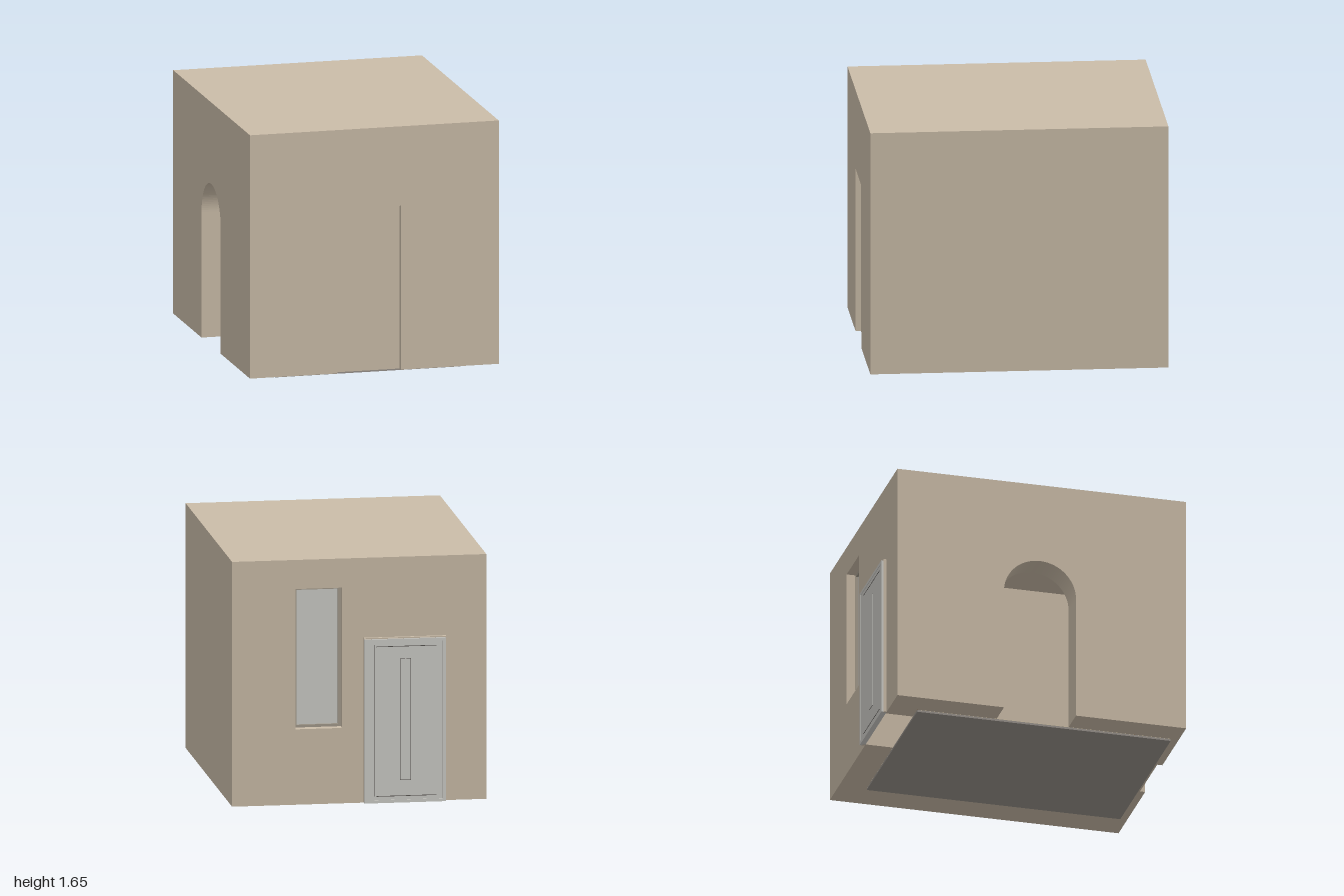
import * as THREE from 'three';

const mat = (name, color) => Object.assign(new THREE.MeshStandardMaterial({ color }), { name });

export function createModel() {
  const room = new THREE.Group();
  room.name = 'room';
  const plaster = mat('plaster', 0xcabca8);
  const grey = mat('pale grey panel', 0xcccbc6);
  const trim = mat('trim grey', 0xa39a8c);
  const slab = mat('slab grey', 0x96908a);
  const tile = mat('floor tile', 0xd2c2a4);
  const wood = mat('wood', 0x8a5c3a);
  const dark = mat('dark gap', 0x55524e);

  const add = (name, geo, material, parent = room) => {
    const mesh = new THREE.Mesh(geo, material);
    mesh.name = name;
    parent.add(mesh);
    return mesh;
  };
  // box given by its limits on each axis
  const box = (name, x0, x1, y0, y1, z0, z1, material, parent) => {
    const g = new THREE.BoxGeometry(x1 - x0, y1 - y0, z1 - z0);
    g.translate((x0 + x1) / 2, (y0 + y1) / 2, (z0 + z1) / 2);
    return add(name, g, material, parent);
  };
  const group = (name) => {
    const g = new THREE.Group();
    g.name = name;
    room.add(g);
    return g;
  };
  // wall outline with one opening that reaches the ground, round-topped if arched
  const base = 0.015, top = 1.655;
  const wallShape = (u0, u1, o0, o1, height, arched) => {
    const s = new THREE.Shape();
    s.moveTo(u0, base);
    s.lineTo(o0, base);
    s.lineTo(o0, height);
    if (arched) s.absarc((o0 + o1) / 2, height, (o1 - o0) / 2, Math.PI, 0, true);
    else s.lineTo(o1, height);
    s.lineTo(o1, base);
    s.lineTo(u1, base);
    s.lineTo(u1, top);
    s.lineTo(u0, top);
    s.closePath();
    return s;
  };
  const extrude = (shape, depth) =>
    new THREE.ExtrudeGeometry(shape, { depth, bevelEnabled: false, curveSegments: 28 });

  // front wall with a shallow door niche
  add('frontWall', extrude(wallShape(-0.845, 0.845, -0.25, 0.18, 1.12), 0.055), plaster).position.z = 0.945;
  box('frontDoorPanel', -0.25, 0.18, base, 1.12, 0.945, 0.965, plaster);

  // back wall with doorway and window opening
  const back = wallShape(-0.845, 0.845, -0.55, -0.05, 1.1);
  const hole = new THREE.Path();
  hole.moveTo(0.113, 0.52);
  hole.lineTo(0.113, 1.46);
  hole.lineTo(0.424, 1.46);
  hole.lineTo(0.424, 0.52);
  hole.closePath();
  back.holes.push(hole);
  add('backWall', extrude(back, 0.185), plaster).position.z = -0.965;

  // side walls, one with an arch
  const archWall = extrude(wallShape(-0.78, 0.945, -0.24, 0.25, 0.86, true), 0.185);
  archWall.rotateY(-Math.PI / 2);
  add('archWall', archWall, plaster).position.x = -0.66;
  box('plainWall', 0.6, 0.845, base, top, -0.78, 0.945, plaster);
  box('roof', -0.66, 0.6, 1.58, top, -0.78, 0.945, plaster);

  // floor slab with tiles
  box('floorSlab', -0.66, 0.6, 0, 0.014, -0.78, 0.945, slab);
  const tiles = group('floorTiles');
  const nx = 5, nz = 7, tx = 1.26 / nx, tz = 1.725 / nz;
  for (let i = 0; i < nx; i++) for (let j = 0; j < nz; j++) {
    const x = -0.66 + i * tx, z = -0.78 + j * tz;
    box('tile', x + 0.002, x + tx - 0.002, 0.014, 0.018, z + 0.002, z + tz - 0.002, tile, tiles);
  }

  // rectangular frame made of four bars
  const frame = (name, x0, x1, y0, y1, z0, z1, t, material, parent) => {
    box(name, x0, x0 + t, y0, y1, z0, z1, material, parent);
    box(name, x1 - t, x1, y0, y1, z0, z1, material, parent);
    box(name, x0 + t, x1 - t, y1 - t, y1, z0, z1, material, parent);
    box(name, x0 + t, x1 - t, y0, y0 + t, z0, z1, material, parent);
  };

  // window set back in the wall
  const win = group('window');
  frame('windowFrame', 0.113, 0.424, 0.52, 1.46, -0.905, -0.86, 0.018, trim, win);
  box('windowPane', 0.131, 0.406, 0.538, 1.442, -0.89, -0.87, grey, win);

  // back door standing proud of the wall
  const door = group('backDoor');
  box('doorJamb', -0.575, -0.56, base, 1.12, -0.985, -0.965, plaster, door);
  box('doorJamb', -0.045, -0.03, base, 1.12, -0.985, -0.965, plaster, door);
  box('doorHead', -0.56, -0.045, 1.1, 1.12, -0.985, -0.965, plaster, door);
  box('doorLeaf', -0.56, -0.045, base, 1.1, -0.996, -0.965, grey, door);
  frame('doorBorder', -0.57, -0.03, base, 1.112, -1, -0.985, 0.02, grey, door);
  box('doorGroove', -0.101, -0.097, 0.06, 1.075, -0.9975, -0.995, dark, door);
  box('doorGroove', -0.51, -0.11, 0.058, 0.062, -0.9975, -0.995, dark, door);
  box('doorGroove', -0.51, -0.11, 1.06, 1.064, -0.9975, -0.995, dark, door);
  box('doorSlitEdge', -0.34, -0.265, 0.165, 0.98, -0.9975, -0.995, dark, door);
  box('doorSlit', -0.337, -0.268, 0.168, 0.977, -0.999, -0.996, grey, door);

  // wooden bookcase beside the front door
  const shelf = group('bookcase');
  box('bookcaseBack', -0.6, -0.28, 0.018, 1.15, 0.925, 0.945, wood, shelf);
  for (const x of [-0.6, -0.3]) box('bookcaseSide', x, x + 0.02, 0.018, 1.15, 0.68, 0.925, wood, shelf);
  for (let i = 0; i < 6; i++) {
    const y = 0.03 + i * 0.22;
    box('bookcaseShelf', -0.58, -0.3, y, y + 0.02, 0.685, 0.925, wood, shelf);
  }

  // small table on turned legs
  const table = group('table');
  const profile = [[0, 0.018], [0.014, 0.018], [0.018, 0.05], [0.01, 0.08], [0.012, 0.15],
    [0.024, 0.2], [0.012, 0.25], [0.02, 0.28], [0.016, 0.36], [0, 0.36]];
  const leg = new THREE.LatheGeometry(profile.map(([x, y]) => new THREE.Vector2(x, y)), 16);
  for (const x of [-0.58, -0.38]) for (const z of [-0.7, -0.48])
    add('tableLeg', leg, wood, table).position.set(x, 0, z);
  box('tableTop', -0.62, -0.34, 0.36, 0.385, -0.74, -0.44, wood, table);

  return room;
}
